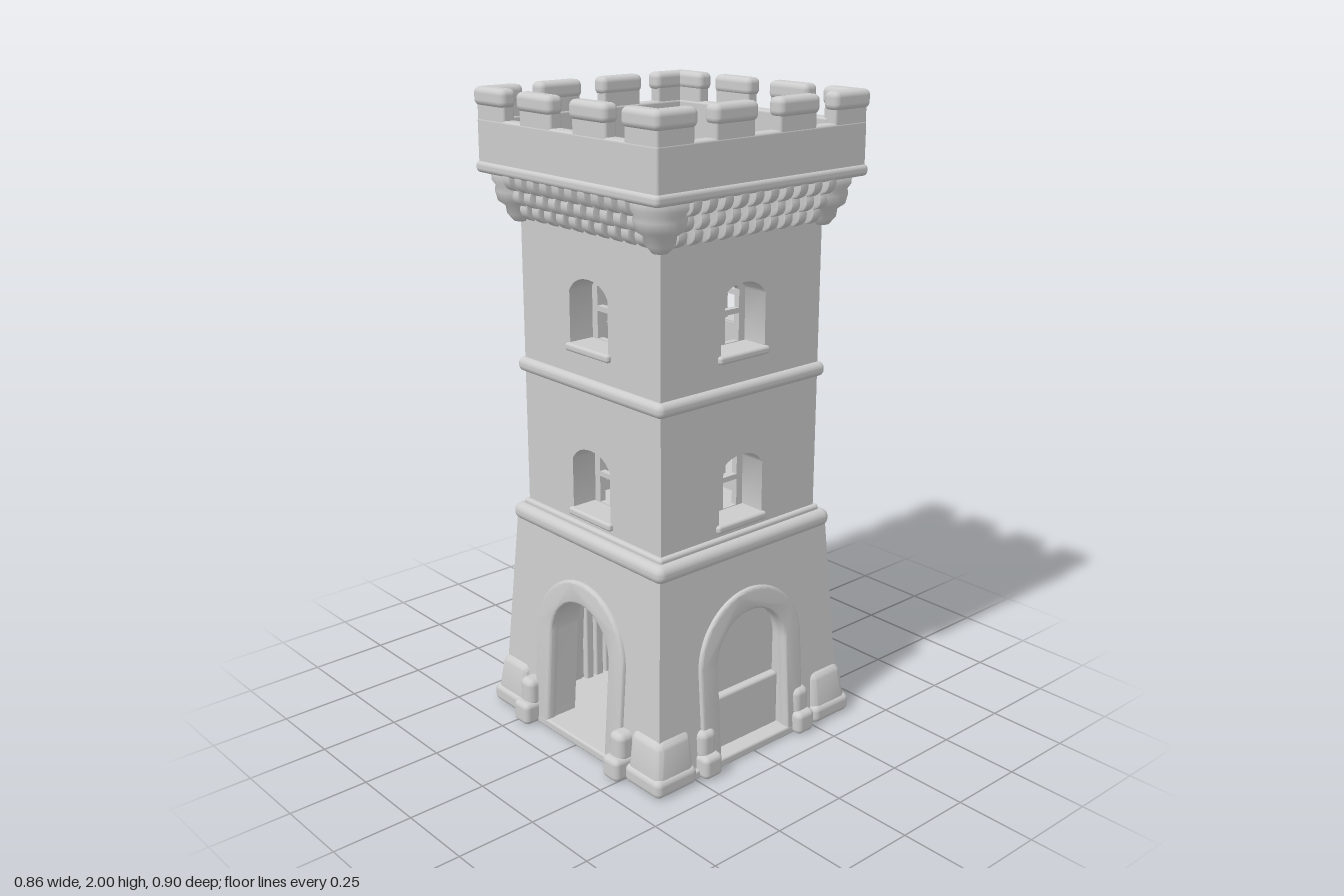
import * as THREE from 'three';
import { toCreasedNormals } from 'three/addons/utils/BufferGeometryUtils.js';
import { RoundedBoxGeometry } from 'three/addons/geometries/RoundedBoxGeometry.js';

const mat = new THREE.MeshStandardMaterial({ color: 0xcccccc });

function add(parent, name, geo, x = 0, y = 0, z = 0) {
  const m = new THREE.Mesh(geo, mat);
  m.name = name;
  m.position.set(x, y, z);
  parent.add(m);
  return m;
}

// Rounded block given by its limits on each axis
function block(parent, name, x0, x1, y0, y1, z0, z1, r = 0.012) {
  return add(parent, name, new RoundedBoxGeometry(x1 - x0, y1 - y0, z1 - z0, 3, r),
    (x0 + x1) / 2, (y0 + y1) / 2, (z0 + z1) / 2);
}

// Half width of the leaning base wall at height y
const lean = y => 0.388 - 0.066 * y;

// Move vertices by a rule, then rebuild normals with sharp edges kept
function reshape(geo, rule) {
  const p = geo.attributes.position, v = new THREE.Vector3();
  for (let i = 0; i < p.count; i++) {
    rule(v.fromBufferAttribute(p, i));
    p.setXYZ(i, v.x, v.y, v.z);
  }
  geo.computeVertexNormals();
  return toCreasedNormals(geo, 0.6);
}

const extrude = (shape, depth, bevel = 0) => new THREE.ExtrudeGeometry(shape, {
  depth, curveSegments: 20, bevelEnabled: bevel > 0, bevelThickness: bevel, bevelSize: bevel, bevelSegments: 3 });

// Wall panel of thickness t, mitred at the corners, whose face follows half(y)
function wall(shape, t, half) {
  return reshape(extrude(shape, t), v => {
    v.z += half(v.y) - t;
    if (Math.abs(v.x) > 0.25) v.x = Math.sign(v.x) * v.z;
  });
}

// Round-headed doorway outline of half width w, from y0 up to spring line s
function archShape(w, y0, s) {
  const a = new THREE.Shape();
  a.moveTo(-w, y0);
  a.lineTo(w, y0);
  a.lineTo(w, s);
  a.absarc(0, s, w, 0, Math.PI, false);
  a.closePath();
  return a;
}

// Low segmental-arched window outline
function windowOutline(w, y0, side, peak) {
  const s = new THREE.Shape();
  s.moveTo(-w, y0);
  s.lineTo(w, y0);
  s.lineTo(w, side);
  s.quadraticCurveTo(w * 0.7, peak, 0, peak);
  s.quadraticCurveTo(-w * 0.7, peak, -w, side);
  return s;
}

const DOOR = 0.145, SPRING = 0.33, HALF = 0.316, WINDOWS = [0.755, 1.275];

function baseSide(g, open, reach) {
  // Leaning wall cut by the doorway
  const s = new THREE.Shape();
  s.moveTo(-0.4, 0);
  s.lineTo(-DOOR, 0);
  s.lineTo(-DOOR, SPRING);
  s.absarc(0, SPRING, DOOR, Math.PI, 0, true);
  s.lineTo(DOOR, 0);
  s.lineTo(0.4, 0);
  s.lineTo(0.4, 0.67);
  s.lineTo(-0.4, 0.67);
  add(g, 'baseWall', wall(s, 0.1, lean));

  // Raised stone surround following the slope
  const ring = new THREE.Shape();
  ring.moveTo(0.15, 0.02);
  ring.lineTo(0.205, 0.02);
  ring.lineTo(0.205, SPRING);
  ring.absarc(0, SPRING, 0.205, 0, Math.PI, false);
  ring.lineTo(-0.205, 0.02);
  ring.lineTo(-0.15, 0.02);
  ring.lineTo(-0.15, SPRING);
  ring.absarc(0, SPRING, 0.15, Math.PI, 0, true);
  add(g, 'archSurround', reshape(extrude(ring, 0.02, 0.008), v => { v.z += lean(v.y) - 0.015; }));

  // Guard stones beside the doorway
  for (const k of [-1, 1]) {
    const x = k * (open ? 0.225 : 0.2);
    block(g, 'guardStoneFoot', x - 0.036, x + 0.036, 0, 0.075, 0.34, reach, 0.018);
    block(g, 'guardStoneTop', x - 0.031, x + 0.031, 0.055, 0.15, 0.34, reach - 0.022, 0.022);
  }

  // Closed doors with a lower ledge and planks on the inner face
  if (!open) {
    add(g, 'doorPanel', toCreasedNormals(extrude(archShape(0.15, 0.01, SPRING), 0.03), 0.6), 0, 0, 0.29);
    block(g, 'doorLowerPanel', -0.148, 0.148, 0.02, 0.205, 0.29, 0.345, 0.01);
    for (let i = -3; i <= 3; i++) {
      const top = SPRING + Math.sqrt(0.02 - (i * 0.04) ** 2);
      block(g, 'doorPlank', i * 0.04 - 0.015, i * 0.04 + 0.015, 0.02, top, 0.27, 0.3, 0.006);
    }
  }
}

function towerSide(g) {
  // Upper wall pierced by two windows
  const s = new THREE.Shape();
  s.moveTo(-0.4, 0.66);
  s.lineTo(0.4, 0.66);
  s.lineTo(0.4, 1.77);
  s.lineTo(-0.4, 1.77);
  for (const y of WINDOWS) s.holes.push(windowOutline(0.088, y, y + 0.16, y + 0.205));
  add(g, 'towerWall', wall(s, 0.11, () => HALF));

  for (const y of WINDOWS) {
    // Recessed four-pane frame
    const f = windowOutline(0.092, y - 0.004, y + 0.165, y + 0.21);
    for (const k of [-1, 1]) {
      const low = new THREE.Path(), high = new THREE.Path();
      low.moveTo(k * 0.008, y + 0.004);
      low.lineTo(k * 0.064, y + 0.004);
      low.lineTo(k * 0.064, y + 0.088);
      low.lineTo(k * 0.008, y + 0.088);
      high.moveTo(k * 0.008, y + 0.104);
      high.lineTo(k * 0.064, y + 0.104);
      high.lineTo(k * 0.064, y + 0.16);
      high.quadraticCurveTo(k * 0.045, y + 0.186, k * 0.008, y + 0.188);
      f.holes.push(low, high);
    }
    add(g, 'windowFrame', toCreasedNormals(extrude(f, 0.02), 0.6), 0, 0, HALF - 0.105);
    block(g, 'windowSill', -0.1, 0.1, y - 0.022, y + 0.003, HALF - 0.09, HALF + 0.014, 0.009);
  }

  // Row of corbels, each with three stepped bulges
  const c = new THREE.Shape();
  c.moveTo(0.29, 1.77);
  c.lineTo(0.29, 1.62);
  c.lineTo(0.318, 1.62);
  c.quadraticCurveTo(0.352, 1.632, 0.34, 1.665);
  c.quadraticCurveTo(0.382, 1.672, 0.366, 1.712);
  c.quadraticCurveTo(0.412, 1.718, 0.398, 1.77);
  const corbel = toCreasedNormals(new THREE.ExtrudeGeometry(c, {
    depth: 0.022, curveSegments: 6, bevelThickness: 0.006, bevelSize: 0.005, bevelSegments: 2 }), 0.7);
  corbel.translate(0, 0, -0.011);
  corbel.rotateY(-Math.PI / 2);
  for (let i = 0; i < 10; i++) add(g, 'corbel', corbel, (i - 4.5) * 0.058, 0, 0);

  // Parapet and its two middle merlons
  block(g, 'parapet', -0.402, 0.402, 1.76, 1.91, 0.357, 0.402, 0.008);
  for (const x of [-0.12, 0.12]) {
    block(g, 'merlon', x - 0.073, x + 0.073, 1.89, 1.985, 0.36, 0.401, 0.008);
    block(g, 'merlonCap', x - 0.08, x + 0.08, 1.945, 2.0, 0.355, 0.41, 0.018);
  }
}

// Everything at one corner, built towards +x and +z
function corner(g) {
  const foot = new RoundedBoxGeometry(0.15, 0.17, 0.15, 4, 0.025);
  add(g, 'cornerFoot', reshape(foot, v => {
    const out = 0.022 * Math.max(0, v.y / 0.085);
    if (v.x > 0) v.x -= out;
    if (v.z > 0) v.z -= out;
  }), 0.335, 0.085, 0.335);
  block(g, 'cornerFootSole', 0.255, 0.415, 0, 0.06, 0.255, 0.415, 0.02);

  // Swelling corner corbel
  const pts = [[0, 1.605], [0.022, 1.608], [0.042, 1.63], [0.046, 1.655], [0.068, 1.67], [0.076, 1.7],
    [0.073, 1.715], [0.084, 1.73], [0.086, 1.77], [0, 1.77]].map(p => new THREE.Vector2(...p));
  add(g, 'cornerCorbel', new THREE.LatheGeometry(pts, 20), 0.315, 0, 0.315);

  // L-shaped corner merlon: one arm on each wall
  block(g, 'cornerMerlon', 0.268, 0.401, 1.89, 1.985, 0.36, 0.401, 0.008);
  block(g, 'cornerMerlon', 0.36, 0.401, 1.89, 1.985, 0.268, 0.401, 0.008);
  block(g, 'cornerMerlonCap', 0.26, 0.41, 1.945, 2.0, 0.355, 0.41, 0.018);
  block(g, 'cornerMerlonCap', 0.355, 0.41, 1.945, 2.0, 0.26, 0.41, 0.018);
}

export function createModel() {
  const tower = new THREE.Group();
  tower.name = 'watchTower';

  // Slabs that span the tower: ground, string courses with floors, roof deck
  const slab = (name, h, y0, y1, r) => block(tower, name, -h, h, y0, y1, -h, h, r);
  slab('groundSlab', 0.4, 0, 0.03, 0.008);
  slab('lowerStringCourse', 0.357, 0.65, 0.705, 0.025);
  slab('lowerStringLedge', 0.33, 0.69, 0.72, 0.01);
  slab('upperStringCourse', 0.336, 1.14, 1.185, 0.02);
  slab('roofDeck', 0.41, 1.75, 1.785, 0.014);

  // Uneven flagstones on the deck, in staggered rows
  for (let r = 0; r < 8; r++) {
    const cuts = r % 2 ? [-0.357, -0.2, -0.03, 0.15, 0.357] : [-0.357, -0.27, -0.11, 0.06, 0.23, 0.357];
    for (let i = 0; i + 1 < cuts.length; i++) {
      const top = 1.789 + 0.003 * Math.sin(r * 5.1 + i * 2.7);
      const z = -0.357 + r * 0.08925;
      block(tower, 'flagstone', cuts[i], cuts[i + 1], 1.77, top, z, z + 0.08925, 0.003);
    }
  }

  // Four sides: open archways front and back, closed doors left and right
  for (let i = 0; i < 4; i++) {
    const side = new THREE.Group();
    side.name = ['frontSide', 'leftSide', 'backSide', 'rightSide'][i];
    side.rotation.y = i * Math.PI / 2;
    const open = i % 2 === 0;
    baseSide(side, open, open ? 0.448 : 0.43);
    towerSide(side);
    corner(side);
    tower.add(side);
  }
  return tower;
}
